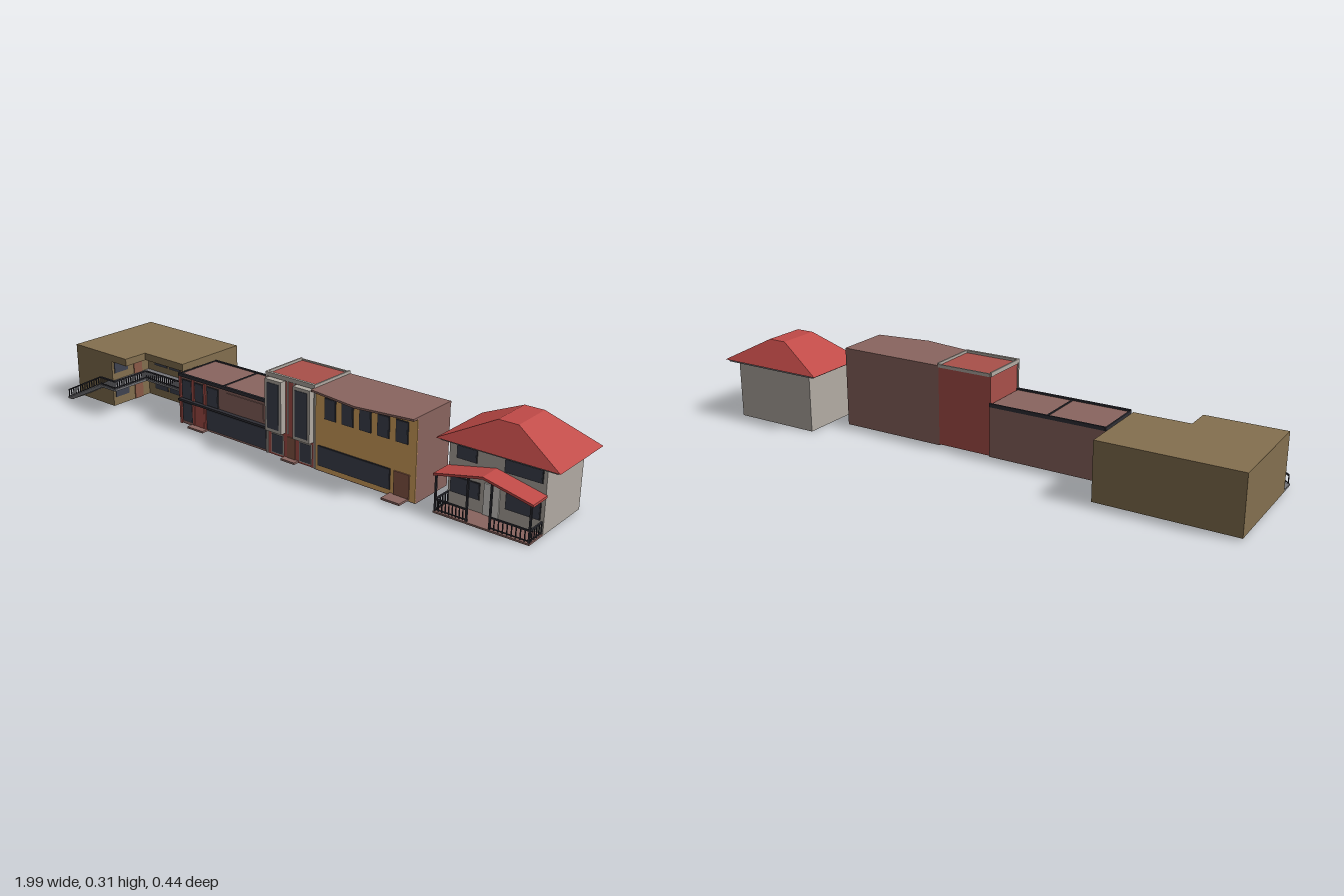
import * as THREE from 'three';

const mat = (color) => new THREE.MeshStandardMaterial({ color, flatShading: true });
const M = {
  brown: mat(0x84704f), mauve: mat(0x8a655f), red: mat(0xa9504a), roofRed: mat(0xc04a47),
  orange: mat(0xd9a55e), stone: mat(0xb3aca4), glass: mat(0x3f4350), dark: mat(0x2f2f36),
  deck: mat(0x76767a), door: mat(0x8b5a48), white: mat(0xd5d2cd),
};

export function createModel() {
  const root = new THREE.Group();
  let g;
  const building = (name) => { g = new THREE.Group(); g.name = name; root.add(g); };
  const add = (name, geo, m) => {
    const mesh = new THREE.Mesh(geo, m);
    mesh.name = name;
    g.add(mesh);
    return mesh;
  };
  // Box given by its limits on each axis
  const box = (name, m, x0, x1, y0, y1, z0, z1) => {
    const b = add(name, new THREE.BoxGeometry(x1 - x0, y1 - y0, z1 - z0), m);
    b.position.set((x0 + x1) / 2, (y0 + y1) / 2, (z0 + z1) / 2);
    return b;
  };
  const polygon = (pts) => new THREE.Shape(pts.map(([a, b]) => new THREE.Vector2(a, b)));
  // Plan outline of [x, z] points raised from y0 to y1
  const prism = (name, m, pts, y0, y1) => {
    const geo = new THREE.ExtrudeGeometry(polygon(pts.map(([x, z]) => [x, -z])), { depth: y1 - y0, bevelEnabled: false });
    return add(name, geo.rotateX(-Math.PI / 2).translate(0, y0, 0), m);
  };
  // Outline of [x, y] points running from z0 to z1
  const profile = (name, m, pts, z0, z1) =>
    add(name, new THREE.ExtrudeGeometry(polygon(pts), { depth: z1 - z0, bevelEnabled: false }).translate(0, 0, z0), m);
  // Straight bar between two points
  const bar = (name, m, a, b, t) => {
    const p = new THREE.Vector3(...a), q = new THREE.Vector3(...b);
    const r = add(name, new THREE.BoxGeometry(t, t, p.distanceTo(q)), m);
    r.position.copy(p).add(q).multiplyScalar(0.5);
    r.lookAt(q);
  };
  // Railing whose foot runs from a to b
  const railing = (a, b, h, n) => {
    const up = ([x, y, z], d) => [x, y + d, z];
    bar('handrail', M.dark, up(a, h), up(b, h), 0.005);
    bar('bottomRail', M.dark, up(a, 0.006), up(b, 0.006), 0.003);
    for (let i = 0; i <= n; i++) {
      const p = a.map((v, k) => v + (b[k] - v) * i / n);
      bar('baluster', M.dark, p, up(p, h), 0.003);
    }
  };
  // Framed window on a wall facing +z
  const windowZ = (x0, x1, y0, y1, z, frame = M.dark) => {
    box('windowFrame', frame, x0 - 0.003, x1 + 0.003, y0 - 0.003, y1 + 0.003, z - 0.002, z + 0.002);
    box('windowPane', M.glass, x0, x1, y0, y1, z - 0.002, z + 0.003);
  };

  // Two-storey corner building with an outside stair and gallery
  building('cornerLodge');
  prism('walls', M.brown, [[-0.99, -0.222], [-0.51, -0.222], [-0.51, -0.02], [-0.79, -0.02], [-0.79, 0.16], [-0.99, 0.16]], 0.007, 0.19);
  prism('roof', M.brown, [[-0.99, -0.222], [-0.51, -0.222], [-0.51, 0.065], [-0.71, 0.065], [-0.71, 0.16], [-0.99, 0.16]], 0.183, 0.21);
  prism('gallery', M.deck, [[-0.79, -0.02], [-0.51, -0.02], [-0.51, 0.065], [-0.71, 0.065], [-0.71, 0.218], [-0.79, 0.218]], 0.1, 0.108);
  for (const [base, f] of [[0.007, 0], [0.108, 1]]) {
    const y0 = f ? 0.135 : 0.04;
    windowZ(-0.75, -0.685, y0, y0 + 0.045, -0.02);
    windowZ(-0.67, -0.615, y0, y0 + 0.045, -0.02);
    box('door', M.door, -0.605, -0.56, base, base + 0.075, -0.021, -0.017);
    box('sideWindow', M.glass, -0.791, -0.787, y0, y0 + 0.045, 0.085, 0.15);
    box('sideDoor', M.door, -0.791, -0.787, base, base + 0.075, 0.015, 0.055);
  }
  // Stair: sawtooth top, sloping underside
  const steps = 14, sx = 0.2 / steps, sy = 0.1 / steps;
  const saw = [[-0.99, 0.007]];
  for (let i = 0; i < steps; i++) saw.push([-0.99 + i * sx, 0.007 + (i + 1) * sy], [-0.99 + (i + 1) * sx, 0.007 + (i + 1) * sy]);
  saw.push([-0.79, 0.096], [-0.968, 0.007]);
  profile('stair', M.deck, saw, 0.162, 0.218);
  railing([-0.985, 0.01, 0.216], [-0.79, 0.107, 0.216], 0.032, 14);
  railing([-0.79, 0.107, 0.216], [-0.712, 0.107, 0.216], 0.031, 7);
  railing([-0.712, 0.107, 0.216], [-0.712, 0.107, 0.063], 0.031, 14);
  railing([-0.712, 0.107, 0.063], [-0.512, 0.107, 0.063], 0.031, 18);

  // Low shop
  building('lowShop');
  box('walls', M.mauve, -0.48, -0.055, 0.007, 0.187, -0.075, 0.11);
  for (const [x0, x1] of [[-0.48, -0.27], [-0.27, -0.055]]) {
    box('roofPanel', M.mauve, x0 + 0.003, x1 - 0.003, 0.185, 0.193, -0.072, 0.107);
    box('rearCoping', M.dark, x0, x1, 0.185, 0.198, -0.077, -0.071);
    box('sideCoping', M.dark, x0 - 0.002, x0 + 0.003, 0.185, 0.196, -0.075, 0.11);
  }
  box('frontCornice', M.dark, -0.482, -0.055, 0.187, 0.199, 0.106, 0.115);
  box('canopy', M.dark, -0.475, -0.056, 0.098, 0.106, 0.108, 0.126);
  for (const x of [-0.475, -0.41, -0.352]) box('pilaster', M.red, x - 0.005, x + 0.005, 0.007, 0.187, 0.109, 0.115);
  for (const [x0, x1] of [[-0.463, -0.42], [-0.4, -0.362], [-0.338, -0.29]]) windowZ(x0, x1, 0.11, 0.176, 0.111);
  box('blankSignPanel', M.stone, -0.25, -0.075, 0.115, 0.176, 0.109, 0.1125).material = M.mauve;
  windowZ(-0.463, -0.42, 0.022, 0.09, 0.111);
  windowZ(-0.343, -0.065, 0.018, 0.09, 0.111);
  box('door', M.red, -0.403, -0.359, 0.012, 0.092, 0.109, 0.114);
  box('doorstep', M.mauve, -0.42, -0.345, 0.007, 0.014, 0.108, 0.138);

  // Red entrance tower with framed window bays
  building('entranceTower');
  box('walls', M.red, -0.055, 0.152, 0.007, 0.293, -0.067, 0.112);
  box('frontCoping', M.stone, -0.057, 0.154, 0.287, 0.302, 0.108, 0.118);
  for (const x of [-0.055, 0.152]) {
    box('sideCoping', M.stone, x - 0.003, x + 0.003, 0.287, 0.302, -0.067, 0.114);
    box('cornerTrim', M.stone, x - 0.004, x + 0.002, 0.007, 0.29, 0.108, 0.115);
  }
  box('rearCoping', M.stone, -0.055, 0.152, 0.287, 0.298, -0.07, -0.064);
  for (const [x0, x1] of [[-0.046, 0.025], [0.076, 0.147]]) {
    box('upperBay', M.stone, x0, x1, 0.1, 0.285, 0.11, 0.136);
    box('bayGlass', M.glass, x0 + 0.01, x1 - 0.01, 0.112, 0.274, 0.13, 0.138);
    windowZ(x0 + 0.012, x1 - 0.012, 0.018, 0.085, 0.113, M.stone);
  }
  for (const x of [0.036, 0.065]) box('centreTrim', M.stone, x - 0.002, x + 0.002, 0.1, 0.287, 0.11, 0.115);
  box('door', M.door, 0.033, 0.068, 0.012, 0.09, 0.11, 0.115);
  box('doorstep', M.mauve, 0.02, 0.08, 0.007, 0.014, 0.11, 0.135);

  // Tall shop with a pointed roof overhang
  building('tallShop');
  box('walls', M.mauve, 0.152, 0.55, 0.003, 0.287, -0.067, 0.109);
  box('frontFacade', M.orange, 0.154, 0.55, 0.007, 0.286, 0.107, 0.112);
  prism('roof', M.mauve, [[0.153, -0.067], [0.551, -0.067], [0.551, 0.136], [0.35, 0.165], [0.153, 0.136]], 0.285, 0.292);
  for (let i = 0; i < 5; i++) windowZ(0.195 + i * 0.07, 0.235 + i * 0.07, 0.197, 0.265, 0.113);
  windowZ(0.168, 0.452, 0.027, 0.093, 0.113);
  box('door', M.door, 0.47, 0.528, 0.012, 0.095, 0.11, 0.116);
  box('doorstep', M.mauve, 0.455, 0.525, 0.007, 0.014, 0.11, 0.16);

  // House with hipped roof and front porch
  building('house');
  box('walls', M.stone, 0.62, 0.95, 0, 0.213, -0.19, 0.038);
  box('eaves', M.deck, 0.59, 0.985, 0.209, 0.217, -0.206, 0.046);
  const hip = new THREE.BoxGeometry(1, 1, 1), p = hip.attributes.position;
  for (let i = 0; i < p.count; i++) {
    const top = p.getY(i) > 0, right = p.getX(i) > 0, front = p.getZ(i) > 0;
    if (top) p.setXYZ(i, right ? 0.826 : 0.757, 0.305, front ? 0 : -0.155);
    else p.setXYZ(i, right ? 0.997 : 0.578, 0.216, front ? 0.055 : -0.212);
  }
  hip.computeVertexNormals();
  add('hippedRoof', hip, M.roofRed);
  windowZ(0.65, 0.715, 0.167, 0.206, 0.039);
  windowZ(0.815, 0.935, 0.167, 0.206, 0.039);
  windowZ(0.632, 0.73, 0.05, 0.1, 0.039);
  windowZ(0.825, 0.935, 0.05, 0.1, 0.039);
  box('frontDoor', M.white, 0.748, 0.802, 0.005, 0.11, 0.037, 0.042);
  box('porchFloor', M.mauve, 0.62, 0.95, 0, 0.006, 0.038, 0.118);
  profile('porchRoof', M.roofRed, [[0.616, 0.123], [0.785, 0.16], [0.954, 0.123], [0.954, 0.131], [0.785, 0.168], [0.616, 0.131]], 0.038, 0.118);
  for (const x of [0.624, 0.735, 0.815, 0.946]) {
    const top = 0.16 - Math.abs(x - 0.785) * 0.22;
    box('porchPost', M.dark, x - 0.003, x + 0.003, 0.005, top, 0.109, 0.115);
  }
  for (const [x0, x1] of [[0.624, 0.735], [0.815, 0.946]]) railing([x0, 0.005, 0.112], [x1, 0.005, 0.112], 0.04, 9);
  for (const x of [0.624, 0.946]) railing([x, 0.005, 0.112], [x, 0.005, 0.042], 0.04, 5);

  return root;
}
